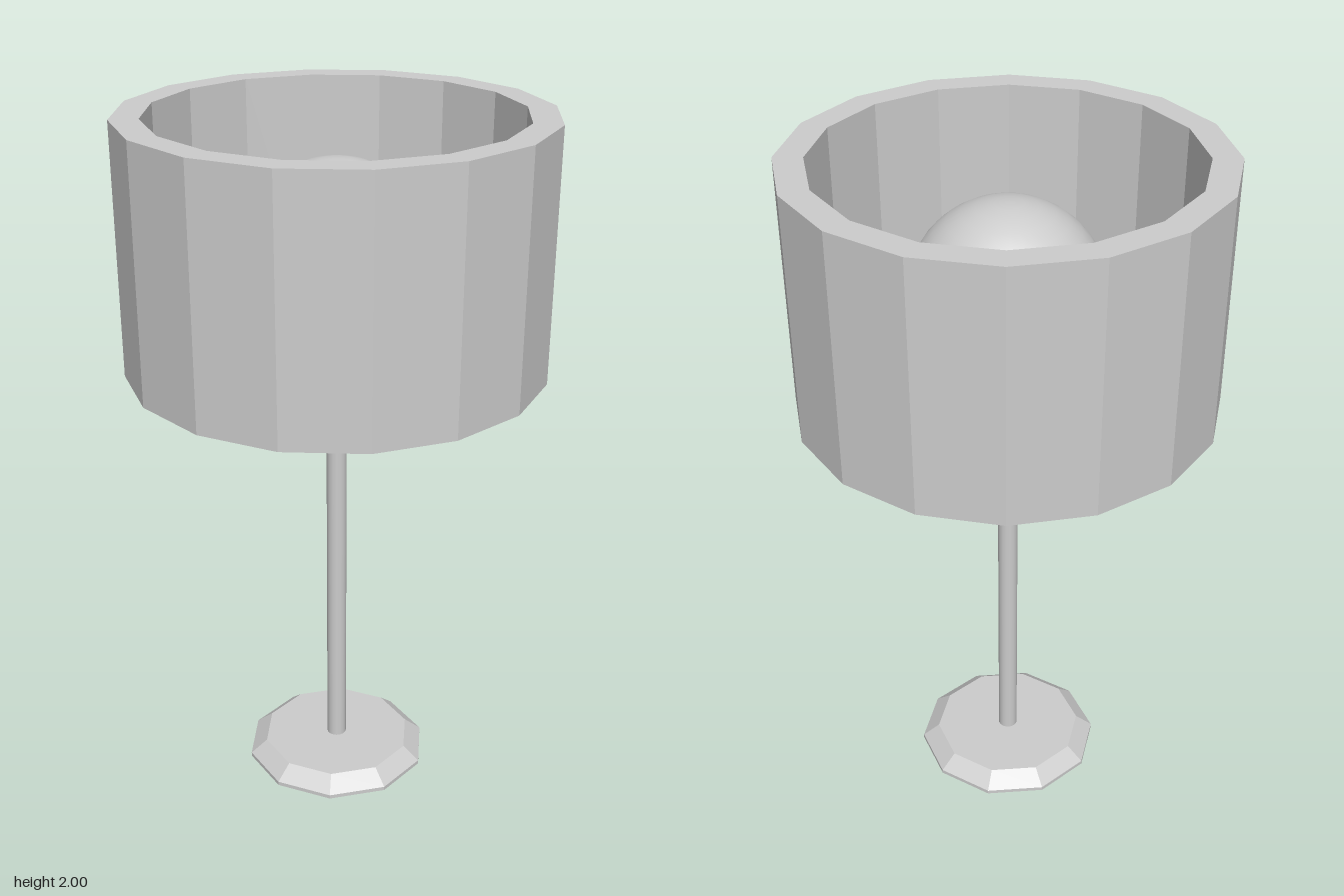
import * as THREE from 'three';

const rad = THREE.MathUtils.degToRad;

export function createModel() {
  const lamp = new THREE.Group();
  lamp.name = 'tableLamp';
  const grey = new THREE.MeshStandardMaterial({ color: 0xcccccc });
  grey.name = 'light grey';

  const add = (name, geometry) => {
    const mesh = new THREE.Mesh(geometry, grey);
    mesh.name = name;
    lamp.add(mesh);
    return mesh;
  };

  // Faceted solid of revolution, profile runs counter-clockwise
  const faceted = (profile, sides, startDeg) => {
    const points = profile.map(([r, y]) => new THREE.Vector2(r, y));
    const geometry = new THREE.LatheGeometry(points, sides, rad(startDeg)).toNonIndexed();
    geometry.computeVertexNormals();
    return geometry;
  };

  // Ten-sided base with a bevelled rim
  add('base', faceted([[0, 0], [0.275, 0], [0.275, 0.012], [0.225, 0.053], [0, 0.053]], 10, 18));

  // Round stem
  const stemTop = 1.34;
  add('stem', new THREE.CylinderGeometry(0.029, 0.029, stemTop - 0.04, 16))
    .position.y = (stemTop + 0.04) / 2;

  // Globe bulb resting on the stem
  add('bulb', new THREE.SphereGeometry(0.272, 32, 20)).position.y = 1.61;

  // Sixteen-sided hollow shade, open at both ends
  add('shade', faceted(
    [[0.587, 1.3], [0.587, 2], [0.508, 2], [0.508, 1.3], [0.587, 1.3]], 16, 8.1));

  // Four struts rising from the stem to the middle of shade facets
  const up = new THREE.Vector3(0, 1, 0);
  for (let i = 0; i < 4; i++) {
    const angle = rad(3.2 + 90 * i);
    const start = new THREE.Vector3(0, 1.33, 0);
    const end = new THREE.Vector3(0.505 * Math.cos(angle), 1.52, 0.505 * Math.sin(angle));
    const along = end.clone().sub(start);
    const strut = add('strut' + (i + 1), new THREE.CylinderGeometry(0.009, 0.009, along.length(), 8));
    strut.position.copy(start).add(end).multiplyScalar(0.5);
    strut.quaternion.setFromUnitVectors(up, along.normalize());
  }

  return lamp;
}
